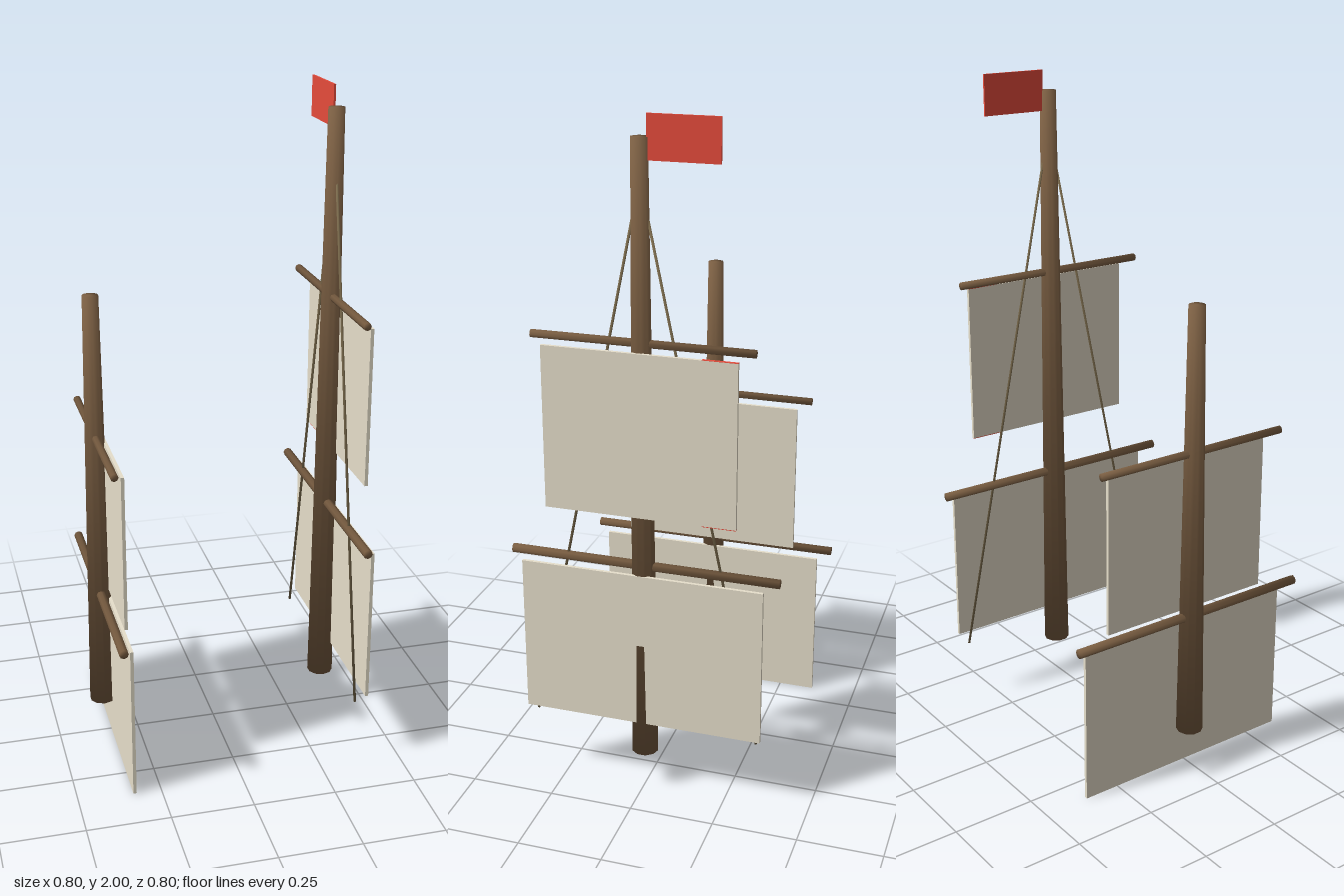
import * as THREE from 'three';
import { mergeVertices } from 'three/addons/utils/BufferGeometryUtils.js';

const mat = (name, color) => {
  const m = new THREE.MeshStandardMaterial({ color });
  m.name = name;
  return m;
};

// Round spar whose shading flows over the end caps: rim normals lean outwards along the axis
function sparGeometry(topRadius, bottomRadius, length, sides) {
  const g = new THREE.CylinderGeometry(topRadius, bottomRadius, length, sides);
  g.deleteAttribute('normal');
  g.deleteAttribute('uv');
  const spar = mergeVertices(g, 1e-5);
  const pos = spar.attributes.position;
  const normals = [];
  const n = new THREE.Vector3();
  for (let i = 0; i < pos.count; i++) {
    n.set(pos.getX(i), 0, pos.getZ(i));
    if (n.length() > 1e-4) n.normalize();
    else n.set(0, 0, 0);
    n.y = 0.85 * Math.sign(pos.getY(i));
    normals.push(...n.normalize().toArray());
  }
  spar.setAttribute('normal', new THREE.Float32BufferAttribute(normals, 3));
  return spar;
}

export function createModel() {
  const wood = mat('wood', 0x7a5e42);
  const canvas = mat('canvas', 0xe8e0cc);
  const red = mat('flagRed', 0xe74c3c);
  const rope = mat('rope', 0x7a6a4c);
  const model = new THREE.Group();
  model.name = 'shipRigging';

  const add = (parent, name, geometry, material, x, y, z) => {
    const mesh = new THREE.Mesh(geometry, material);
    mesh.name = name;
    mesh.position.set(x, y, z);
    parent.add(mesh);
    return mesh;
  };

  const baseY = 0.12;
  // Mast with a lower and an upper yard, each carrying a square sail
  function buildMast(name, x, topY, yardHeights) {
    const mast = new THREE.Group();
    mast.name = name;
    mast.position.x = x;
    model.add(mast);
    const length = topY - baseY;
    add(mast, 'mastPole', sparGeometry(0.024, 0.04, length, 10), wood, 0, baseY + length / 2, 0);
    yardHeights.forEach((y, i) => {
      const level = i ? 'upper' : 'lower';
      const halfYard = i ? 0.32 : 0.4;
      const radius = i ? 0.012 : 0.014;
      const yard = add(mast, level + 'Yard', sparGeometry(radius, radius, halfYard * 2, 8), wood, 0, y, 0);
      yard.rotation.x = Math.PI / 2;
      const sail = new THREE.BoxGeometry(0.01, 0.48, (halfYard - 0.04) * 2);
      add(mast, level + 'Sail', sail, canvas, 0.03, y - 0.26, 0);
    });
    return mast;
  }

  buildMast('foreMast', -0.36, 1.44, [0.5, 1.01]);
  const main = buildMast('mainMast', 0.36, 1.94, [0.727, 1.388]);

  // Flag streaming from the main masthead
  add(main, 'flag', new THREE.BoxGeometry(0.006, 0.12, 0.2), red, 0, 1.94, -0.12);

  // Red trim on the upper sail's top and bottom edges, towards the back
  for (const y of [1.368, 0.888]) {
    add(main, 'sailTrim', new THREE.BoxGeometry(0.01, 0.002, 0.1), red, 0.03, y, -0.23);
  }

  // Shrouds on either side of the main mast
  for (const side of [1, -1]) {
    const top = new THREE.Vector3(0, 1.76, side * 0.015);
    const foot = new THREE.Vector3(0, 0.2, side * 0.34);
    const dir = top.clone().sub(foot);
    const mid = top.clone().add(foot).multiplyScalar(0.5);
    const shroud = add(main, side > 0 ? 'frontShroud' : 'backShroud',
      sparGeometry(0.004, 0.004, dir.length(), 6), rope, mid.x, mid.y, mid.z);
    shroud.quaternion.setFromUnitVectors(new THREE.Vector3(0, 1, 0), dir.normalize());
  }

  return model;
}
